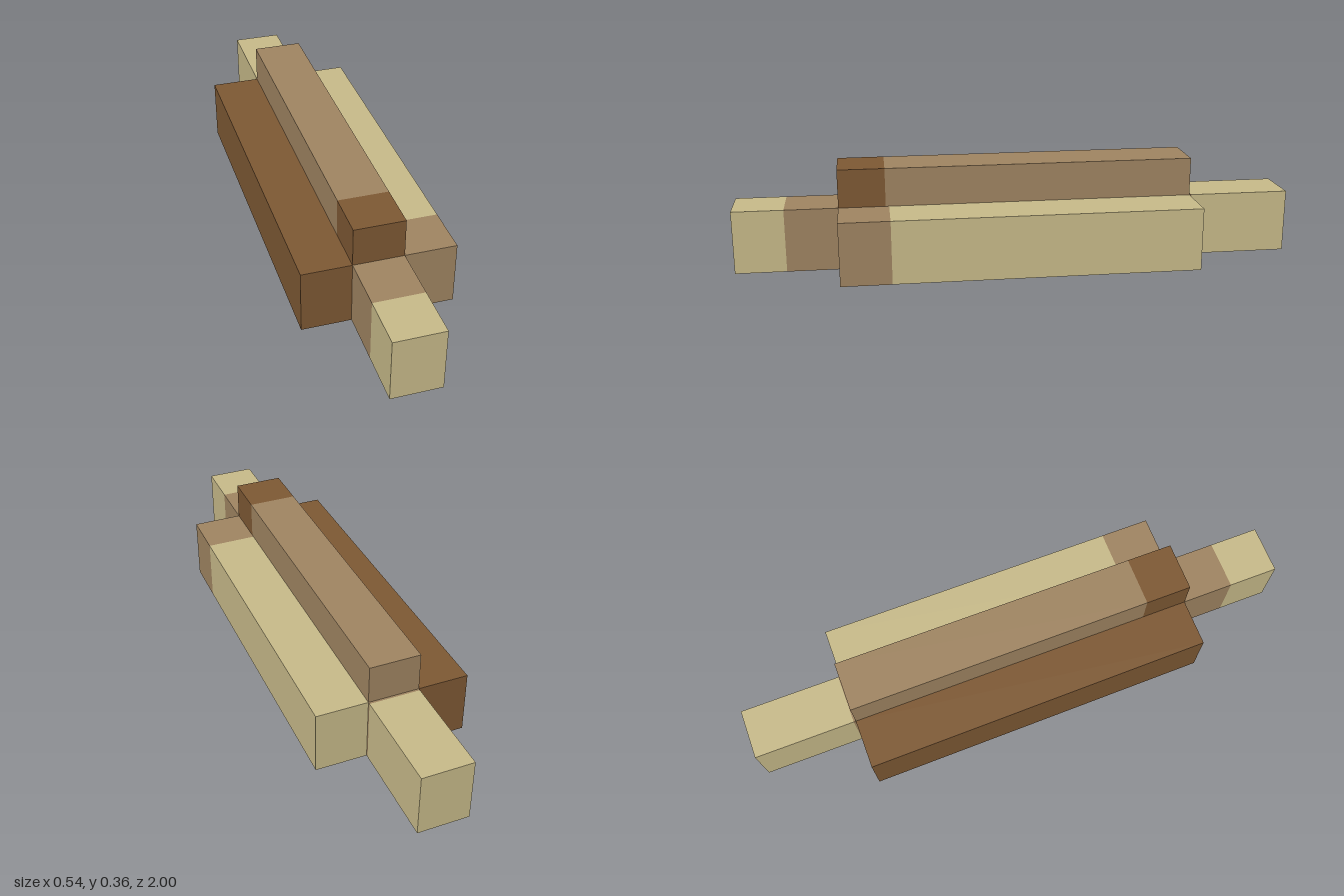
import * as THREE from 'three';

const material = (name, color) => {
  const m = new THREE.MeshStandardMaterial({ color });
  m.name = name;
  return m;
};

// An x position that drifts slightly along the length of the timber.
const drift = (front, back) => (z) => front + (back - front) * (1 - z) / 2;

export function createModel() {
  const pale = material('paleWood', 0xc8bb8a);
  const tan = material('tanWood', 0xa08562);
  const dark = material('darkWood', 0x7e5934);

  const outerRight = drift(-0.259, -0.27);
  const innerRight = drift(-0.091, -0.091);
  const innerLeft = drift(0.083, 0.088);
  const outerLeft = drift(0.263, 0.268);

  const model = new THREE.Group();
  model.name = 'stackedBeams';

  // A beam is cut along z into coloured lengths: cuts has one more entry than mats.
  function beam(name, xMin, xMax, y0, y1, cuts, mats) {
    const group = new THREE.Group();
    group.name = name;
    mats.forEach((mat, i) => {
      const zFront = cuts[i], zBack = cuts[i + 1];
      const geo = new THREE.BoxGeometry(1, y1 - y0, zFront - zBack);
      geo.translate(0, (y0 + y1) / 2, (zFront + zBack) / 2);
      const p = geo.attributes.position;
      for (let k = 0; k < p.count; k++) {
        p.setX(k, (p.getX(k) < 0 ? xMin : xMax)(p.getZ(k)));
      }
      geo.computeVertexNormals();
      const mesh = new THREE.Mesh(geo, mat);
      mesh.name = `${name}Length${i + 1}`;
      group.add(mesh);
    });
    model.add(group);
  }

  // Long middle beam, with bare ends
  beam('centreBeam', innerRight, innerLeft, 0, 0.226,
    [1, 0.82, 0.58, 0.48, -0.64, -1], [pale, tan, dark, tan, pale]);
  // Shorter beams on either side
  beam('rightBeam', outerRight, innerRight, 0, 0.226, [0.632, -0.632], [dark]);
  beam('leftBeam', innerLeft, outerLeft, 0, 0.226, [0.632, 0.455, -0.632], [tan, pale]);
  // Beam laid on top
  beam('topBeam', innerRight, innerLeft, 0.226, 0.363, [0.632, 0.467, -0.632], [dark, tan]);

  return model;
}
